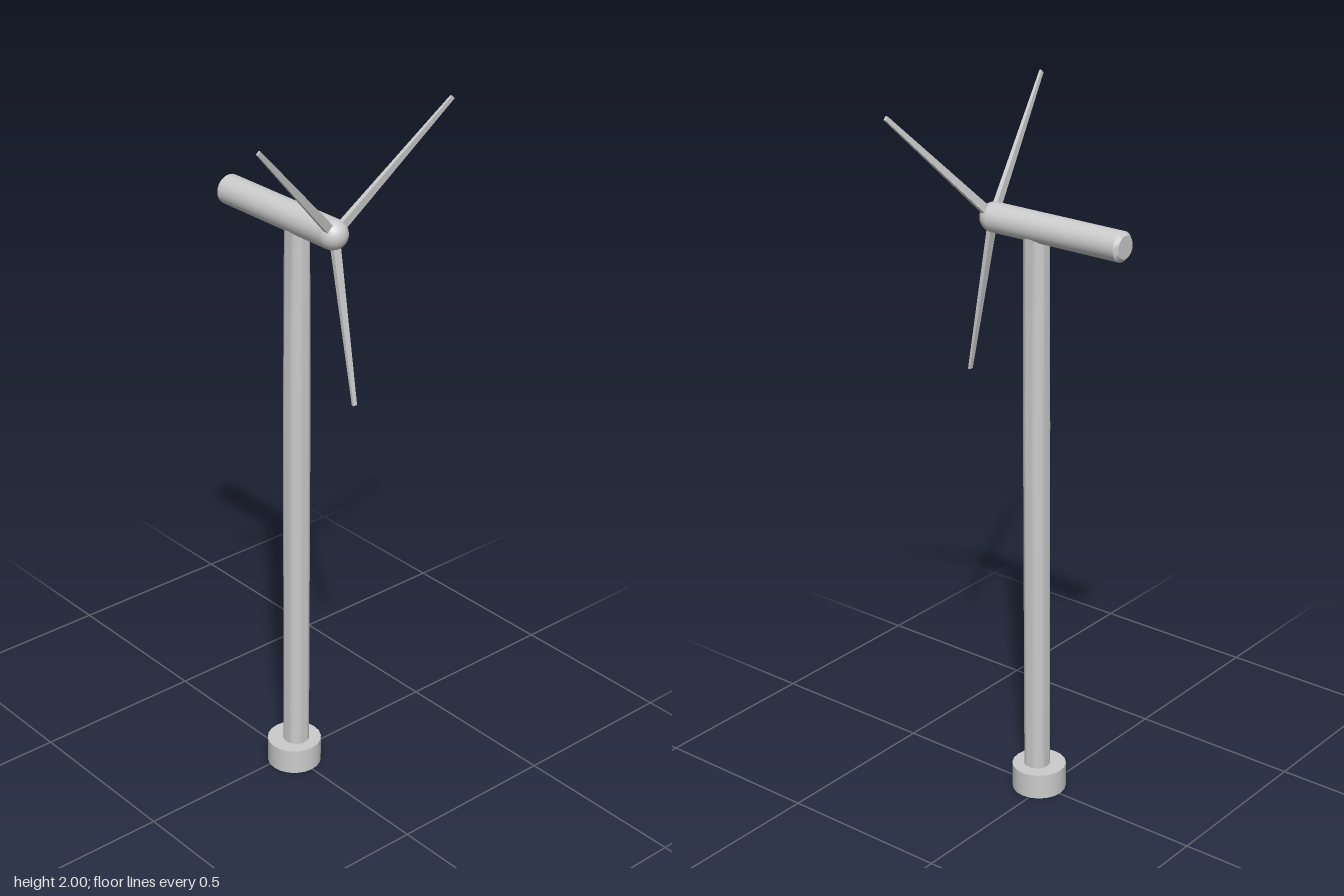
import * as THREE from 'three';
import { toCreasedNormals } from 'three/addons/utils/BufferGeometryUtils.js';

const HUB_Y = 1.68;
const HUB_Z = 0.165;

export function createModel() {
  const model = new THREE.Group();
  model.name = 'windTurbine';
  const material = new THREE.MeshStandardMaterial({ color: 0xcccccc });

  const add = (name, geometry, x, y, z, parent = model) => {
    const mesh = new THREE.Mesh(geometry, material);
    mesh.name = name;
    mesh.position.set(x, y, z);
    parent.add(mesh);
    return mesh;
  };

  // Round foundation
  add('base', new THREE.CylinderGeometry(0.077, 0.077, 0.075, 20), -0.003, 0.0375, 0.021);

  // Tower, slightly slimmer from side to side towards the top
  const tower = new THREE.CylinderGeometry(0.037, 0.037, 1.6, 24, 6);
  const t = tower.attributes.position;
  for (let i = 0; i < t.count; i++) {
    const k = Math.max(0, (t.getY(i) - 0.26) / 0.54);
    t.setX(i, t.getX(i) * (1 - 0.16 * k));
  }
  tower.computeVertexNormals();
  add('tower', toCreasedNormals(tower, 0.7), 0, 0.86, 0.026);

  // Nacelle: long drum with a chamfered rear end
  const profile = [[0, -0.26], [0.031, -0.26], [0.041, -0.25], [0.041, HUB_Z], [0, HUB_Z]]
    .map(([r, z]) => new THREE.Vector2(r, z));
  const nacelle = new THREE.LatheGeometry(profile, 24).rotateX(Math.PI / 2);
  add('nacelle', toCreasedNormals(nacelle, 0.6), 0, HUB_Y, 0);

  // Rotor: domed hub and three forward-leaning blades
  const rotor = new THREE.Group();
  rotor.name = 'rotor';
  rotor.position.set(0, HUB_Y, HUB_Z);
  model.add(rotor);
  add('hub', new THREE.SphereGeometry(0.041, 24, 16), 0, 0, 0, rotor);

  // Tapered square-ended blade, sheared forwards towards its tip
  const blade = new THREE.BoxGeometry(1, 1, 1);
  const p = blade.attributes.position;
  for (let i = 0; i < p.count; i++) {
    const k = p.getY(i) + 0.5;
    p.setXYZ(i,
      p.getX(i) * THREE.MathUtils.lerp(0.025, 0.012, k),
      THREE.MathUtils.lerp(0.015, 0.447, k),
      p.getZ(i) * THREE.MathUtils.lerp(0.014, 0.007, k) + THREE.MathUtils.lerp(0.008, 0.091, k));
  }
  blade.computeVertexNormals();
  [['bladeLeft', -45], ['bladeRight', 45], ['bladeLower', 180]].forEach(([name, angle]) => {
    add(name, blade, 0, 0, 0, rotor).rotation.z = THREE.MathUtils.degToRad(angle);
  });

  return model;
}
